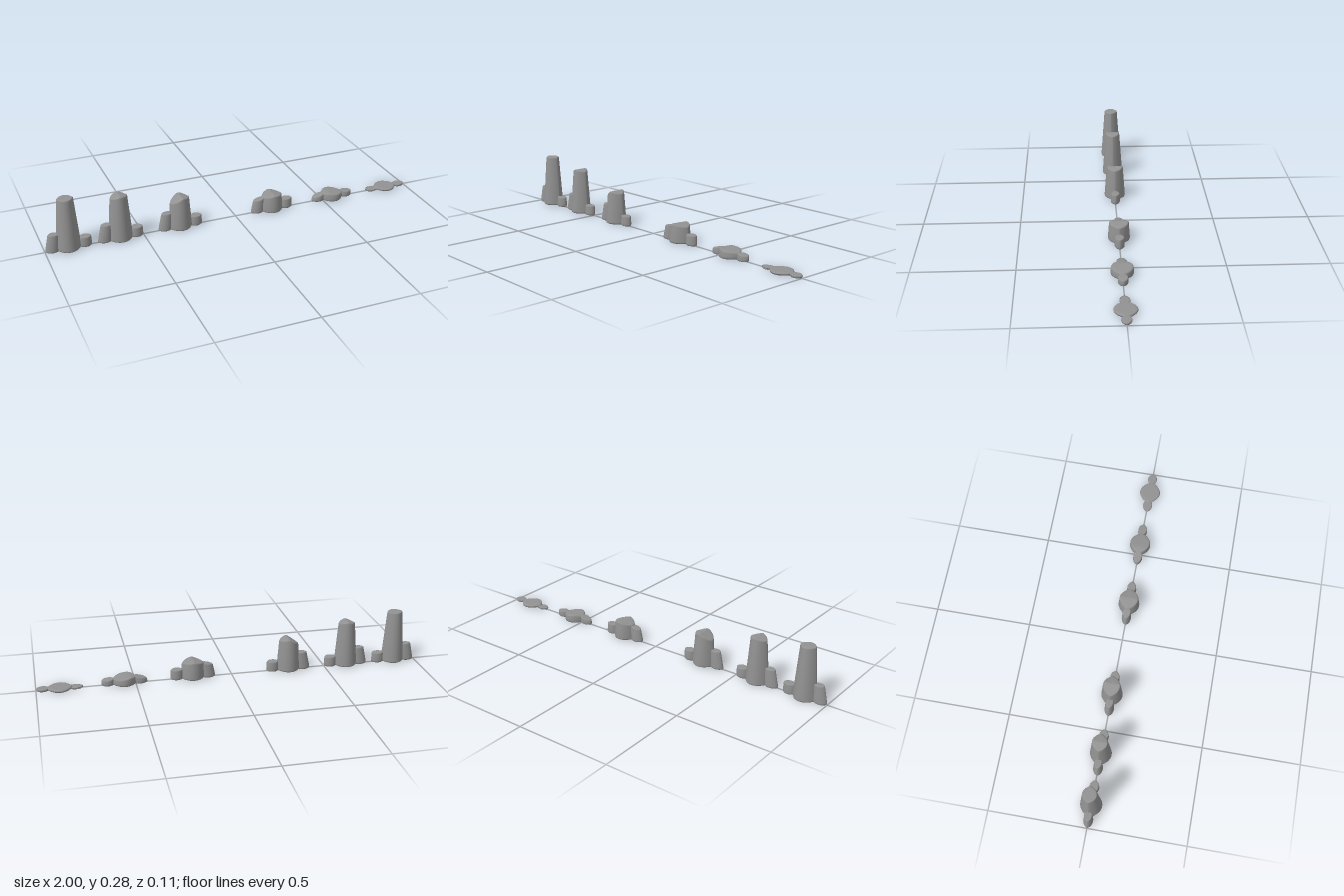
import * as THREE from 'three';

const SEG = 32;
const material = new THREE.MeshStandardMaterial({ color: 0x929292 });

// Height of the top at local x, from a few [x, y] points
function heightAt(points, x) {
  if (x <= points[0][0]) return points[0][1];
  for (let i = 1; i < points.length; i++) {
    const [x0, y0] = points[i - 1], [x1, y1] = points[i];
    if (x <= x1) return y0 + (y1 - y0) * (x - x0) / (x1 - x0);
  }
  return points[points.length - 1][1];
}

// Tapered, smooth stone with an eye-shaped section, a rounded foot and a cut top
function stone(name, x, { a, b, taper, lean, point }, top) {
  const pos = [], index = [];
  // each ring: [inset, fraction of height, absolute offset in y]
  const rings = [
    [0, 0, 0], [0.86, 0, 0], [0.96, 0, 0.003], [1, 0, 0.009],
    [1, 0.5, 0], [1, 1, -0.006], [0.97, 1, -0.002], [0.9, 1, 0],
    [0.6, 1, 0], [0.3, 1, 0], [0, 1, 0],
  ];
  for (const [inset, f, dy] of rings) {
    for (let i = 0; i < SEG; i++) {
      const t = i / SEG * Math.PI * 2, c = Math.cos(t), s = Math.sin(t);
      const px = a * c * inset;
      const pz = b * Math.sign(s) * Math.pow(Math.abs(s), point) * inset;
      const h = heightAt(top, px * (1 - taper * top[0][1]) + lean * top[0][1]);
      const y = THREE.MathUtils.clamp(h * f + dy, 0, h);
      const k = 1 - taper * y;
      pos.push(px * k + lean * y, y, pz * k);
    }
  }
  for (let r = 0; r < rings.length - 1; r++) {
    for (let i = 0; i < SEG; i++) {
      const j = (i + 1) % SEG;
      const p = r * SEG + i, q = r * SEG + j;
      // the first and last rings are single points, so they close as fans
      if (r === 0) index.push(0, p + SEG, q + SEG);
      else if (r === rings.length - 2) index.push(p, p + SEG - i, q);
      else index.push(p, p + SEG, q, q, p + SEG, q + SEG);
    }
  }
  const geo = new THREE.BufferGeometry();
  geo.setAttribute('position', new THREE.Float32BufferAttribute(pos, 3));
  geo.setIndex(index);
  geo.computeVertexNormals();
  const mesh = new THREE.Mesh(geo, material);
  mesh.name = name;
  mesh.position.x = x;
  return mesh;
}

const PILLAR = { a: 0.064, b: 0.056, taper: 1.3, lean: 0, point: 1.5 };
const LEFT = { a: 0.038, b: 0.025, taper: 2.5, lean: 0.12, point: 1.25 };
const RIGHT = { a: 0.034, b: 0.025, taper: 1.6, lean: 0, point: 1.25 };
const flat = (y) => [[0, y]];

// Stages from a full pillar down to a worn stump
const STAGES = [
  { x: -0.882, pillar: flat(0.277), outer: flat(0.093), inner: flat(0.053) },
  { x: -0.618, pillar: [[-0.04, 0.233], [0, 0.246], [0.037, 0.238]], outer: flat(0.093), inner: flat(0.053) },
  { x: -0.304, pillar: [[-0.05, 0.145], [0.005, 0.178], [0.042, 0.168]], outer: flat(0.093), inner: flat(0.053) },
  { x: 0.203, pillar: [[-0.055, 0.083], [0, 0.098], [0.052, 0.088]], outer: [[-0.025, 0.068], [0.03, 0.079]], inner: flat(0.053) },
  { x: 0.556, pillar: [[-0.06, 0.038], [-0.03, 0.045], [0.015, 0.04], [0.06, 0.034]], outer: [[-0.035, 0.024], [0.03, 0.04]], inner: [[-0.03, 0.034], [0.03, 0.029]] },
  { x: 0.882, pillar: flat(0.015), outer: flat(0.009), inner: flat(0.014) },
];

export function createModel() {
  const model = new THREE.Group();
  model.name = 'rockStages';
  STAGES.forEach(({ x, pillar, outer, inner }, i) => {
    const cluster = new THREE.Group();
    cluster.name = `rockCluster${i + 1}`;
    cluster.position.x = x;
    cluster.add(
      stone('pillar', 0, PILLAR, pillar),
      stone('tallSideStone', -0.08, LEFT, outer),
      stone('shortSideStone', 0.084, RIGHT, inner),
    );
    model.add(cluster);
  });
  return model;
}
